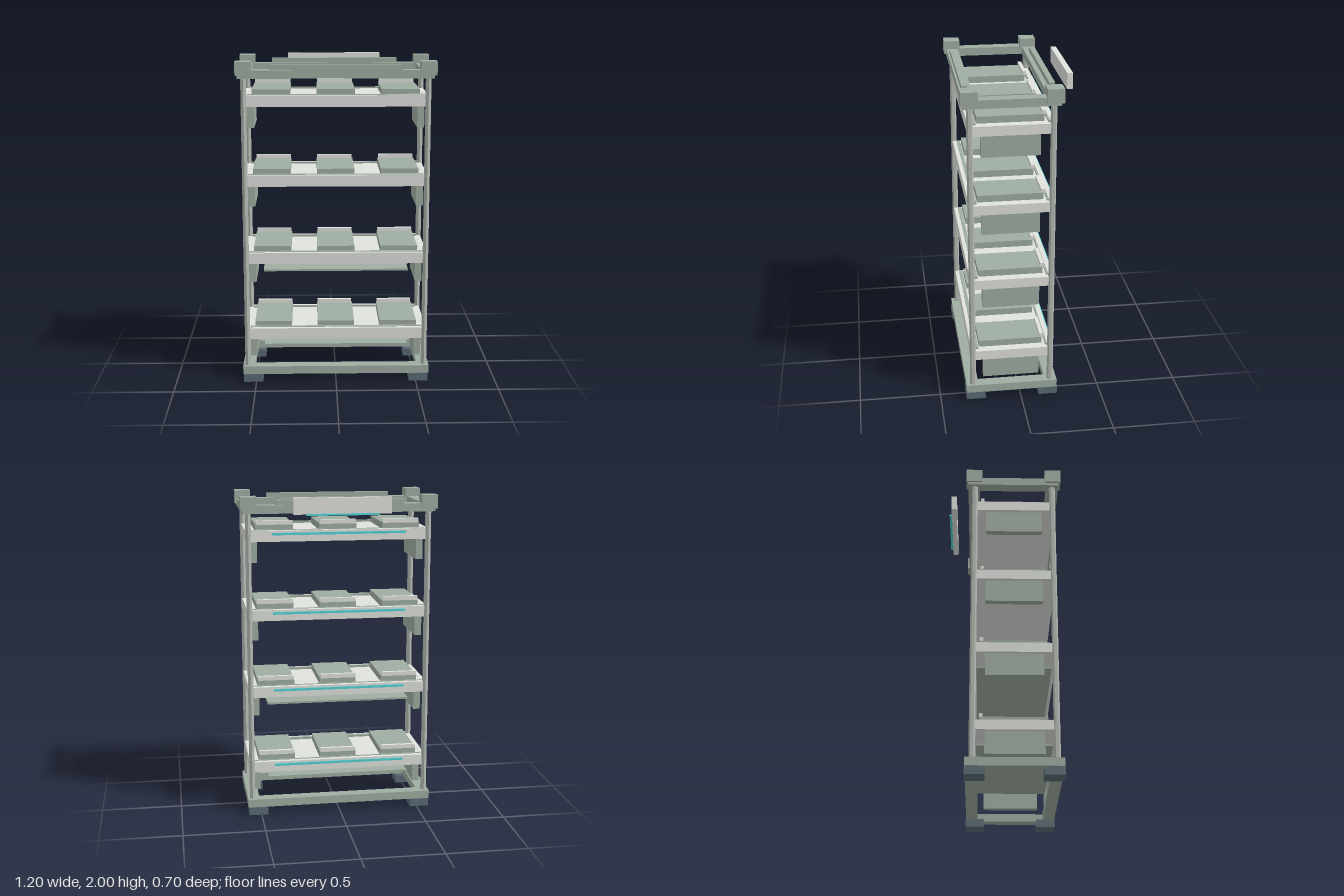
import * as THREE from 'three';

const mat = (name, color) => Object.assign(new THREE.MeshStandardMaterial({ color }), { name });

export function createModel() {
  const sage = mat('sage green', 0x9fada2);
  const pale = mat('pale grey', 0xe0e2dd);
  const steel = mat('steel grey', 0xb4bab3);
  const slate = mat('slate', 0x5a6b74);
  const teal = mat('teal', 0x52d2d4);

  const model = new THREE.Group();
  model.name = 'storageRack';

  // box given by its min and max on each axis
  const box = (parent, name, material, [x0, x1], [y0, y1], [z0, z1]) => {
    const mesh = new THREE.Mesh(new THREE.BoxGeometry(x1 - x0, y1 - y0, z1 - z0), material);
    mesh.position.set((x0 + x1) / 2, (y0 + y1) / 2, (z0 + z1) / 2);
    mesh.name = name;
    parent.add(mesh);
  };
  const group = (name) => {
    const g = new THREE.Group();
    g.name = name;
    model.add(g);
    return g;
  };
  // the same box on the left and right
  const pair = (parent, name, material, [x0, x1], y, z) => {
    box(parent, name, material, [x0, x1], y, z);
    box(parent, name, material, [-x1, -x0], y, z);
  };

  // rectangular frame of four rails
  const frame = (name, hx, y, [z0, z1], w) => {
    const g = group(name);
    box(g, 'frontRail', sage, [-hx, hx], y, [z1 - w, z1]);
    box(g, 'backRail', sage, [-hx, hx], y, [z0, z0 + w]);
    pair(g, 'sideRail', sage, [hx - w, hx], y, [z0 + w, z1 - w]);
  };
  frame('baseFrame', 0.582, [0.05, 0.1], [-0.226, 0.338], 0.073);
  frame('topFrame', 0.587, [1.899, 1.949], [-0.226, 0.337], 0.073);

  // feet, six-sided posts and corner blocks
  const supports = group('supports');
  const postGeometry = new THREE.CylinderGeometry(0.019, 0.019, 1.81, 6).toNonIndexed();
  postGeometry.computeVertexNormals();
  for (const [foot, postZ, block] of [
    [[0.222, 0.341], 0.297, [0.252, 0.351]],
    [[-0.23, -0.111], -0.185, [-0.239, -0.14]],
  ]) {
    pair(supports, 'foot', slate, [0.457, 0.577], [0, 0.05], foot);
    pair(supports, 'cornerBlock', sage, [0.503, 0.6], [1.917, 2], block);
    for (const side of [-1, 1]) {
      const post = new THREE.Mesh(postGeometry, steel);
      post.position.set(side * 0.553, 1, postZ);
      post.name = 'post';
      supports.add(post);
    }
  }

  // bars lying on the long top rails
  const bars = group('topBars');
  box(bars, 'frontBar', sage, [-0.395, 0.395], [1.949, 1.978], [0.291, 0.325]);
  box(bars, 'backBar', sage, [-0.395, 0.395], [1.949, 1.978], [-0.216, -0.182]);

  // panel behind the rack with a lit strip at its foot
  const header = group('headerPanel');
  box(header, 'panel', pale, [-0.295, 0.295], [1.903, 2], [-0.339, -0.305]);
  box(header, 'panelStrip', teal, [-0.22, 0.22], [1.896, 1.907], [-0.352, -0.337]);

  // four shelves
  for (let i = 0; i < 4; i++) {
    const shelf = group('shelf');
    shelf.position.y = 0.271 + i * 0.4855;
    box(shelf, 'tray', pale, [-0.535, 0.535], [0.001, 0.059], [-0.168, 0.283]);
    box(shelf, 'frontLip', sage, [-0.535, 0.535], [0.059, 0.072], [0.26, 0.283]);
    box(shelf, 'backLip', sage, [-0.535, 0.535], [0.059, 0.07], [-0.168, -0.157]);

    // beams spanning from post to post
    box(shelf, 'frontBeam', pale, [-0.536, 0.536], [0, 0.069], [0.283, 0.307]);
    box(shelf, 'backBeam', pale, [-0.536, 0.536], [0, 0.067], [-0.198, -0.168]);
    pair(shelf, 'sideBeam', pale, [0.535, 0.564], [0, 0.06], [-0.168, 0.281]);
    box(shelf, 'backStrip', teal, [-0.41, 0.41], [0.04, 0.054], [-0.207, -0.198]);
    pair(shelf, 'sideBox', sage, [0.495, 0.538], [-0.137, 0], [-0.115, 0.232]);

    // three bins, each with a raised back edge
    for (const x of [-0.391, 0, 0.391]) {
      box(shelf, 'bin', sage, [x - 0.115, x + 0.115], [0.059, 0.1], [-0.138, 0.254]);
      box(shelf, 'binBackEdge', pale, [x - 0.111, x + 0.111], [0.097, 0.123], [-0.147, -0.125]);
    }
    // thin lower panel on the two bottom shelves
    if (i < 2) box(shelf, 'lowerPanel', sage, [-0.447, 0.447], [-0.054, -0.042], [-0.163, 0.28]);
  }
  return model;
}
